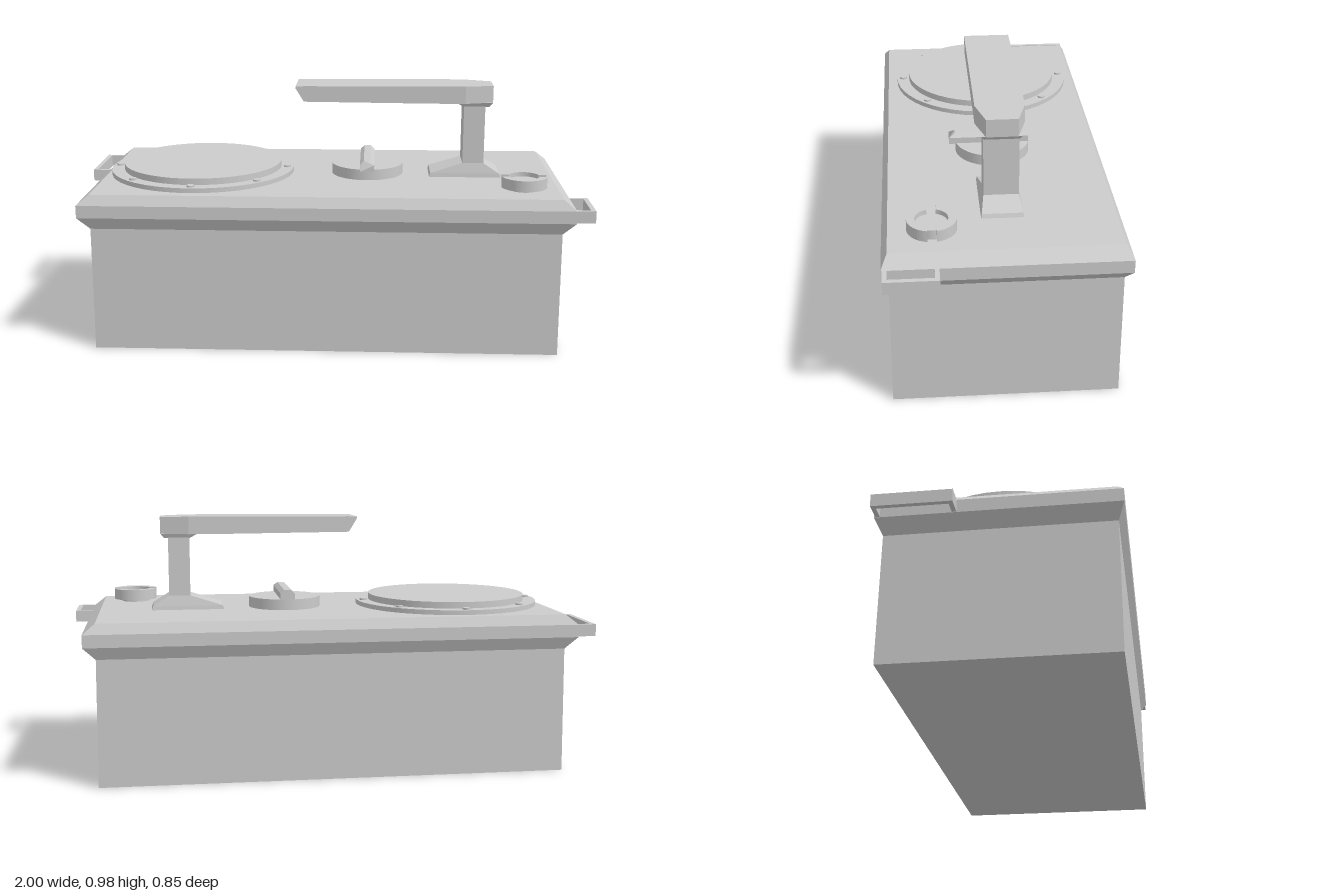
import * as THREE from 'three';

const material = new THREE.MeshStandardMaterial({ color: 0xcccccc });
const flat = new THREE.MeshStandardMaterial({ color: 0xcccccc, flatShading: true });

function add(parent, name, geometry, x = 0, y = 0, z = 0, mat = material) {
  const mesh = new THREE.Mesh(geometry, mat);
  mesh.name = name;
  mesh.position.set(x, y, z);
  parent.add(mesh);
  return mesh;
}

// Joins four-cornered sections into a closed solid with hard edges
function loft(sections) {
  const out = [];
  const quad = (a, b, c, d) => out.push(...a, ...b, ...c, ...a, ...c, ...d);
  for (let s = 0; s < sections.length - 1; s++) {
    const a = sections[s], b = sections[s + 1];
    for (let i = 0; i < 4; i++) {
      const j = (i + 1) % 4;
      quad(a[i], a[j], b[j], b[i]);
    }
  }
  const first = sections[0], last = sections[sections.length - 1];
  quad(first[3], first[2], first[1], first[0]);
  quad(...last);
  const g = new THREE.BufferGeometry();
  g.setAttribute('position', new THREE.Float32BufferAttribute(out, 3));
  g.computeVertexNormals();
  return g;
}

// Horizontal section at height y, symmetric in z
const level = (y, x0, x1, z) => [[x0, y, z], [x1, y, z], [x1, y, -z], [x0, y, -z]];
// Upright section at position x
const slice = (x, y0, y1, z) => [[x, y0, -z], [x, y1, -z], [x, y1, z], [x, y0, z]];

const disc = (r, h, n = 48) => new THREE.CylinderGeometry(r, r, h, n);

// Flat C-shaped loop fixed to the side of the rim
function sideLoop(parent, name, side, z0, z1) {
  const g = new THREE.Group();
  g.name = name;
  const y = 0.552, h = 0.046, mid = (z0 + z1) / 2;
  add(g, 'loopBar', new THREE.BoxGeometry(0.018, h, z1 - z0), side * 0.991, y, mid);
  for (const z of [z0 + 0.008, z1 - 0.008]) {
    add(g, 'loopArm', new THREE.BoxGeometry(0.07, h, 0.016), side * 0.95, y, z);
  }
  parent.add(g);
}

export function createModel() {
  const model = new THREE.Group();
  model.name = 'panelBox';

  // Case and flared rim in one shell
  add(model, 'caseAndRim', loft([
    level(0, -0.888, 0.888, 0.405),
    level(0.48, -0.884, 0.884, 0.402),
    level(0.527, -0.93, 0.93, 0.425),
    level(0.575, -0.93, 0.93, 0.425),
    level(0.613, -0.884, 0.884, 0.403),
  ]), 0, 0, 0, flat);

  // Round hatch with a bolted flange
  const hatch = new THREE.Group();
  hatch.name = 'hatch';
  hatch.position.set(-0.51, 0.613, -0.003);
  add(hatch, 'flange', disc(0.367, 0.018), 0, 0.009, 0);
  add(hatch, 'hatchLid', disc(0.316, 0.043), 0, 0.0215, 0);
  for (let i = 0; i < 8; i++) {
    const a = (i * Math.PI) / 4;
    add(hatch, 'bolt', disc(0.015, 0.025, 8), 0.341 * Math.cos(a), 0.0125, 0.341 * Math.sin(a));
  }
  model.add(hatch);

  // Dial with a ridged pointer, bevelled along the top and at the front tip
  const dial = new THREE.Group();
  dial.name = 'dial';
  dial.position.set(0.155, 0.613, 0);
  add(dial, 'dialDisc', disc(0.142, 0.042, 40), 0, 0.021, -0.002);
  const ridge = new THREE.Shape();
  [[-0.028, 0.04], [0.028, 0.04], [0.028, 0.065], [0.013, 0.079], [-0.013, 0.079], [-0.028, 0.065]]
    .forEach(([x, y], i) => (i ? ridge.lineTo(x, y) : ridge.moveTo(x, y)));
  const pointer = new THREE.ExtrudeGeometry(ridge, { depth: 0.305, bevelEnabled: false });
  pointer.translate(0, 0, -0.14);
  const p = pointer.attributes.position;
  for (let i = 0; i < p.count; i++) {
    if (p.getZ(i) > 0.1 && p.getY(i) > 0.07) p.setZ(i, 0.142);
  }
  add(dial, 'pointer', pointer, 0, 0, 0, flat);
  model.add(dial);

  // Lever: flared foot, post and long grip
  const lever = new THREE.Group();
  lever.name = 'lever';
  add(lever, 'leverFoot', loft([
    level(0.61, 0.4, 0.685, 0.076),
    level(0.628, 0.405, 0.678, 0.073),
    level(0.668, 0.532, 0.615, 0.063),
  ]), 0, 0, 0, flat);
  add(lever, 'leverPost', new THREE.BoxGeometry(0.083, 0.25, 0.126), 0.5735, 0.785, 0);
  add(lever, 'grip', loft([
    slice(-0.127, 0.966, 0.974, 0.088),
    slice(-0.095, 0.914, 0.975, 0.088),
    slice(0.4, 0.91, 0.978, 0.088),
    slice(0.535, 0.91, 0.978, 0.088),
    slice(0.645, 0.91, 0.976, 0.056),
  ]), 0, 0, 0, flat);
  add(lever, 'gripCollar', loft([
    level(0.894, 0.53, 0.63, 0.062),
    level(0.911, 0.5, 0.643, 0.07),
  ]), 0, 0, 0, flat);
  model.add(lever);

  // Port: core with two collar halves, split on the left and right
  const port = new THREE.Group();
  port.name = 'port';
  port.position.set(0.753, 0.613, 0.25);
  add(port, 'portCore', disc(0.056, 0.036, 32), 0, 0.018, 0);
  for (const turn of [0, Math.PI]) {
    const c = new THREE.Shape();
    const a = Math.asin(0.016 / 0.087), b = Math.asin(0.016 / 0.058);
    c.absarc(0, 0, 0.087, a, Math.PI - a, false);
    c.absarc(0, 0, 0.058, Math.PI - b, b, true);
    c.closePath();
    const half = new THREE.ExtrudeGeometry(c, { depth: 0.042, bevelEnabled: false, curveSegments: 16 });
    half.rotateX(-Math.PI / 2).rotateY(turn);
    add(port, 'collarHalf', half, 0, 0.01, 0);
  }
  model.add(port);

  // Carrying loops at opposite corners
  sideLoop(model, 'leftLoop', 1, 0.23, 0.42);
  sideLoop(model, 'rightLoop', -1, -0.42, -0.14);

  return model;
}
